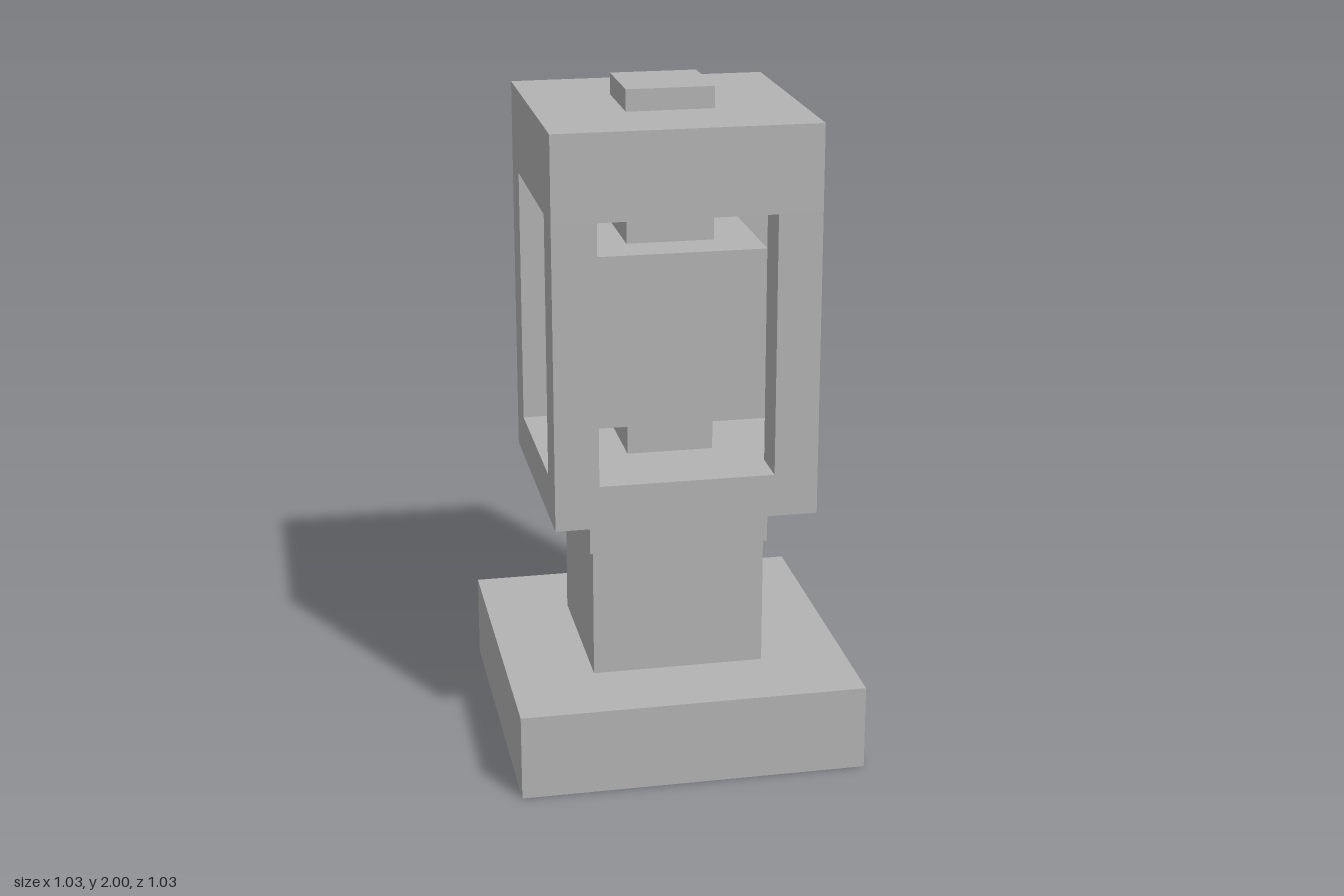
import * as THREE from 'three';

export function createModel() {
  const model = new THREE.Group();
  model.name = 'stoneLantern';
  const stone = new THREE.MeshStandardMaterial({ color: 0xb2b2b2 });
  stone.name = 'stone grey';

  // Square block of the given half width, from y0 to y1
  function block(name, half, y0, y1, x = 0, z = 0, parent = model) {
    const mesh = new THREE.Mesh(new THREE.BoxGeometry(half * 2, y1 - y0, half * 2), stone);
    mesh.name = name;
    mesh.position.set(x, (y0 + y1) / 2, z);
    parent.add(mesh);
    return mesh;
  }

  // Foot and column
  block('base', 0.516, 0, 0.258);
  block('column', 0.258, 0.258, 0.65);
  block('collar', 0.268, 0.65, 0.777);

  // Open frame: floor, roof and four corner posts
  const frame = new THREE.Group();
  frame.name = 'lanternFrame';
  model.add(frame);
  block('frameFloor', 0.387, 0.777, 0.905, 0, 0, frame);
  block('frameRoof', 0.387, 1.682, 1.936, 0, 0, frame);
  for (const sx of [-1, 1]) {
    for (const sz of [-1, 1]) {
      const name = (sz > 0 ? 'front' : 'back') + (sx > 0 ? 'Left' : 'Right') + 'Post';
      block(name, 0.0645, 0.905, 1.682, sx * 0.3225, sz * 0.3225, frame);
    }
  }

  // Lamp block held between two stems
  block('lowerStem', 0.129, 0.905, 1.036);
  block('lampCore', 0.258, 1.036, 1.55);
  block('upperStem', 0.129, 1.55, 1.682);

  // Cap on the roof
  block('cap', 0.129, 1.936, 2);

  return model;
}
